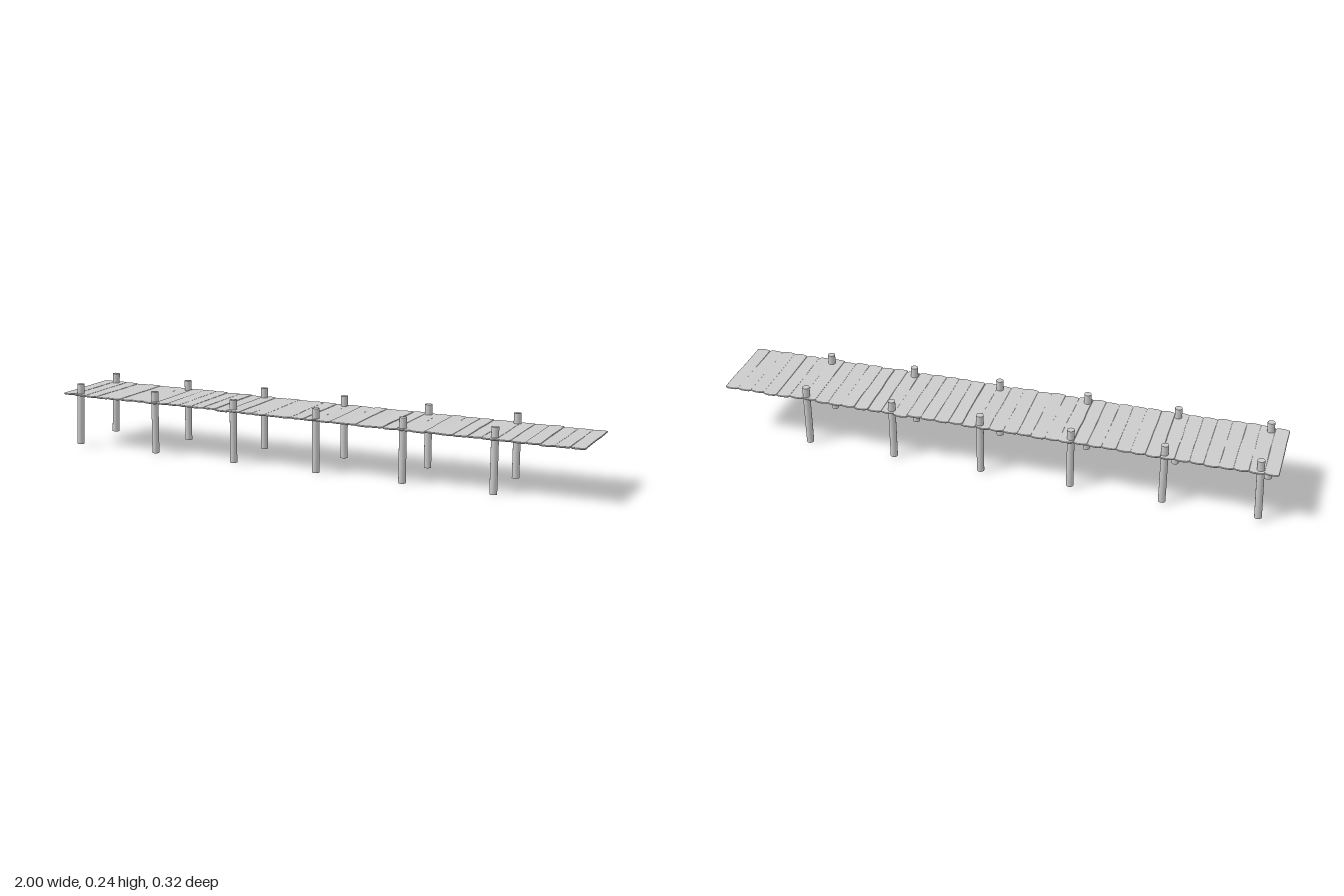
import * as THREE from 'three';

const grey = new THREE.MeshStandardMaterial({ color: 0xcccccc, flatShading: true });
const smooth = new THREE.MeshStandardMaterial({ color: 0xcccccc });

function seeded(seed) {
  return () => {
    seed = (seed * 16807) % 2147483647;
    return seed / 2147483647;
  };
}

// The walkway drops and drifts forward a little along its length
const deckY = x => 0.197 - 0.0065 * x;
const deckZ = x => 0.009 * x;

// A weathered board: worn round ends and slightly wavy long edges
function plankGeometry(width, length, rand) {
  const w = width / 2, l = length / 2, bevel = 0.0015;
  const wob = () => (rand() - 0.5) * 0.003;
  const s = new THREE.Shape();
  s.moveTo(-w, -l + 0.008);
  s.quadraticCurveTo(-w * 0.8, -l, wob(), -l + wob());
  s.quadraticCurveTo(w * 0.8, -l, w, -l + 0.008);
  s.splineThru([-0.4, 0, 0.4].map(t => new THREE.Vector2(w + wob(), t * l))
    .concat(new THREE.Vector2(w, l - 0.008)));
  s.quadraticCurveTo(w * 0.8, l, wob(), l + wob());
  s.quadraticCurveTo(-w * 0.8, l, -w, l - 0.008);
  s.splineThru([0.4, 0, -0.4].map(t => new THREE.Vector2(-w + wob(), t * l))
    .concat(new THREE.Vector2(-w, -l + 0.008)));
  const g = new THREE.ExtrudeGeometry(s, {
    depth: 0.002, curveSegments: 4, bevelEnabled: true,
    bevelThickness: bevel, bevelSize: bevel, bevelOffset: -bevel, bevelSegments: 1,
  });
  g.translate(0, 0, -0.001);
  g.rotateX(-Math.PI / 2);
  return g;
}

export function createModel() {
  const model = new THREE.Group();
  model.name = 'pier';
  const rand = seeded(4127);

  // Deck boards, edge to edge with small differences in length, roll and turn
  const deck = new THREE.Group();
  deck.name = 'deck';
  const count = 40, pitch = 2 / count;
  for (let i = 0; i < count; i++) {
    const x = -1 + pitch * (i + 0.5);
    const end = i === 0 || i === count - 1;
    const plank = new THREE.Mesh(
      plankGeometry(pitch + (end ? 0 : 0.003), 0.298 + (rand() - 0.5) * 0.012, rand), grey);
    plank.name = 'plank';
    plank.position.set(x, deckY(x) + (rand() - 0.5) * 0.002, deckZ(x) + (rand() - 0.5) * 0.006);
    plank.rotation.z = -0.0065 + (rand() - 0.5) * 0.07;
    plank.rotation.y = end ? 0 : (rand() - 0.5) * 0.02;
    deck.add(plank);
  }
  model.add(deck);

  // Pairs of round posts standing through the deck
  const posts = new THREE.Group();
  posts.name = 'posts';
  const postGeometry = new THREE.CylinderGeometry(0.013, 0.013, 0.229, 16);
  for (let i = 0; i < 6; i++) {
    const x = -0.94 + 0.326 * i;
    for (const side of [-1, 1]) {
      const post = new THREE.Mesh(postGeometry, smooth);
      post.name = 'post';
      post.position.set(x, 0.1217 - 0.0065 * (x + 0.1), side * 0.121 - 0.002 + deckZ(x));
      // The first pair leans, the others stand almost upright
      post.rotation.z = i === 0 ? -0.045 : -0.006;
      posts.add(post);
    }
  }
  model.add(posts);

  // Rest the lowest post on the ground
  const box = new THREE.Box3().setFromObject(model, true);
  model.position.y = -box.min.y;
  return model;
}
